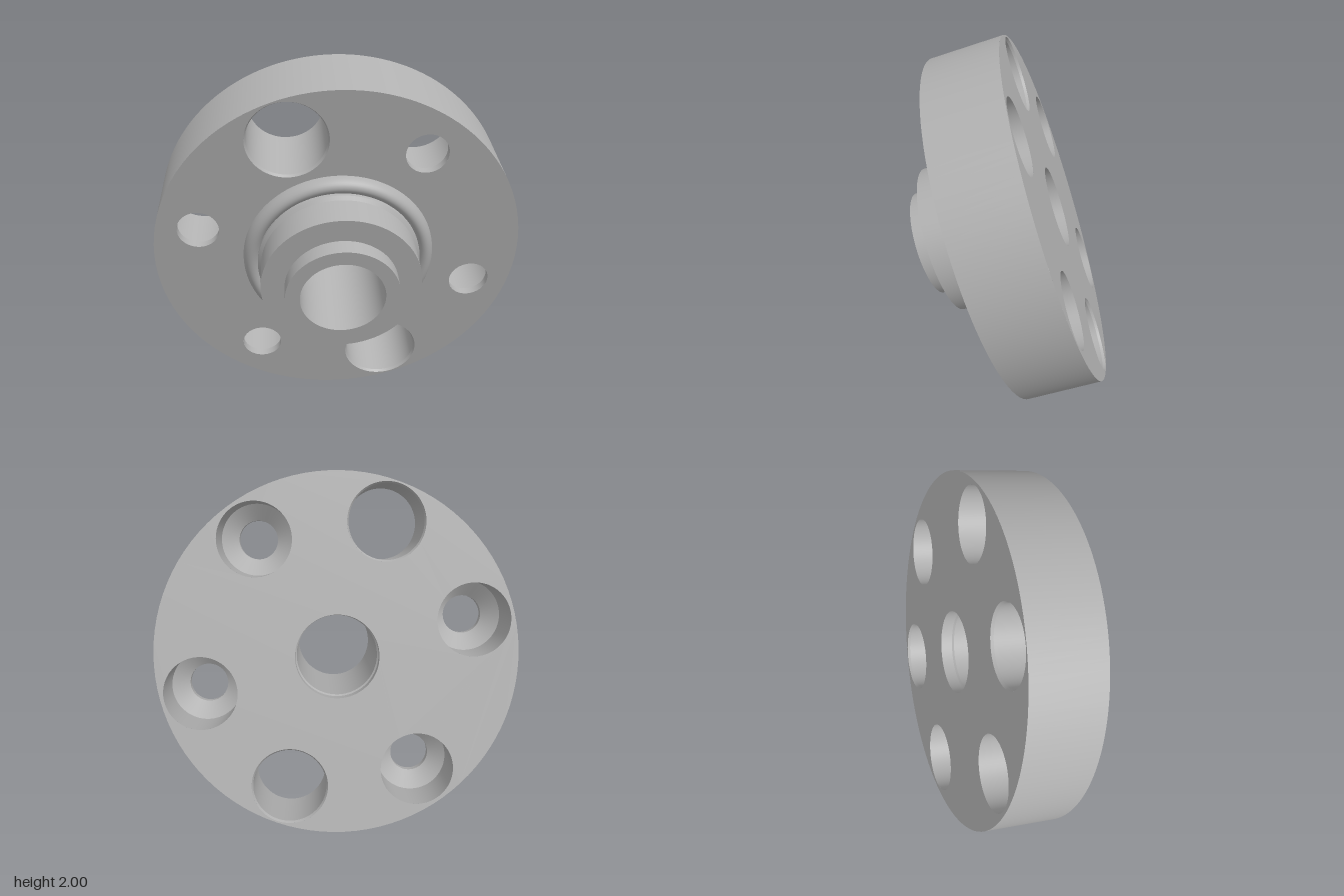
import * as THREE from 'three';
import { mergeGeometries } from 'three/addons/utils/BufferGeometryUtils.js';

const R = 0.984, H = 0.205;              // flange radius and half thickness
const BOLT = 0.765, BIG = 0.21, SINK = 0.2, SMALL = 0.11, BORE = 0.22;

// Surface of revolution about z from [radius, z] points; rising z faces outward.
function turned(points, smooth = false, segments = 96) {
  const pts = points.map(([r, z]) => new THREE.Vector2(r, z));
  const lathe = (p) => new THREE.LatheGeometry(p, segments).rotateX(Math.PI / 2);
  if (smooth) return lathe(pts);
  return mergeGeometries(pts.slice(1).map((p, i) => lathe([pts[i], p])));
}

// Flat disc with round holes, facing +z
function plate(holes) {
  const shape = new THREE.Shape().absarc(0, 0, R, 0, Math.PI * 2, false);
  for (const [x, y, r] of holes) {
    shape.holes.push(new THREE.Path().absarc(x, y, r, 0, Math.PI * 2, true));
  }
  return new THREE.ShapeGeometry(shape, 48);
}

export function createModel() {
  const metal = new THREE.MeshStandardMaterial({ color: 0xb0b0b0 });
  metal.name = 'grey metal';

  const part = new THREE.Group();
  part.name = 'hubFlange';
  const add = (name, geometry, x = 0, y = 0) => {
    const mesh = new THREE.Mesh(geometry, metal);
    mesh.name = name;
    mesh.position.set(x, y, 0);
    part.add(mesh);
  };

  // Hole centres, measured from the line through the two large holes
  const at = (deg) => {
    const a = THREE.MathUtils.degToRad(deg);
    return [BOLT * Math.sin(a), BOLT * Math.cos(a)];
  };
  const bigHoles = [0, 180].map(at);
  const smallHoles = [55, -55, 125, -125].map(at);

  // Flange
  add('flangeRim', turned([[R, -H], [R, H]], false, 128));
  add('flangeFront', plate([
    [0, 0, 0.43],
    ...bigHoles.map(([x, y]) => [x, y, BIG]),
    ...smallHoles.map(([x, y]) => [x, y, SMALL]),
  ]).translate(0, 0, H));
  add('flangeBack', plate([
    [0, 0, BORE + 0.008],
    ...bigHoles.map(([x, y]) => [x, y, BIG]),
    ...smallHoles.map(([x, y]) => [x, y, SINK]),
  ]).rotateY(Math.PI).translate(0, 0, -H));

  // Large through holes with slightly broken edges
  const bigWall = turned([
    [BIG, H], [BIG - 0.008, H - 0.015], [BIG - 0.008, -H + 0.015], [BIG, -H],
  ], false, 64);
  bigHoles.forEach(([x, y]) => add('largeHole', bigWall, x, y));

  // Screw holes, countersunk from the back
  const smallWall = turned([
    [SMALL, H], [SMALL, 0.16], [SINK, 0.07], [SINK, -H],
  ], false, 64);
  smallHoles.forEach(([x, y]) => add('countersunkHole', smallWall, x, y));

  // Rounded bead around the hub
  const bead = [];
  for (let i = 0; i <= 16; i++) {
    const a = (i / 16) * Math.PI;
    bead.push([0.467 + 0.045 * Math.cos(a), H + 0.065 * Math.sin(a)]);
  }
  add('bead', turned(bead, true));

  // Stepped hub and its bore
  add('hub', turned([
    [0.435, H], [0.435, 0.27], [0.418, 0.288], [0.418, 0.465],
    [0.296, 0.465], [0.296, 0.558], [BORE, 0.558],
  ]));
  add('bore', turned([
    [BORE, 0.558], [BORE, -0.13], [BORE + 0.008, -0.14], [BORE + 0.008, -H],
  ]));

  // Tilt: local z is the axis, local y points to a large hole
  const axis = new THREE.Vector3(0.51, -0.315, 0.8).normalize();
  const side = new THREE.Vector3(-0.105, 0.68, 0.335).cross(axis).normalize();
  const up = axis.clone().cross(side);
  part.quaternion.setFromRotationMatrix(new THREE.Matrix4().makeBasis(side, up, axis));
  part.position.y = 1;

  const model = new THREE.Group();
  model.name = 'model';
  model.add(part);
  return model;
}
